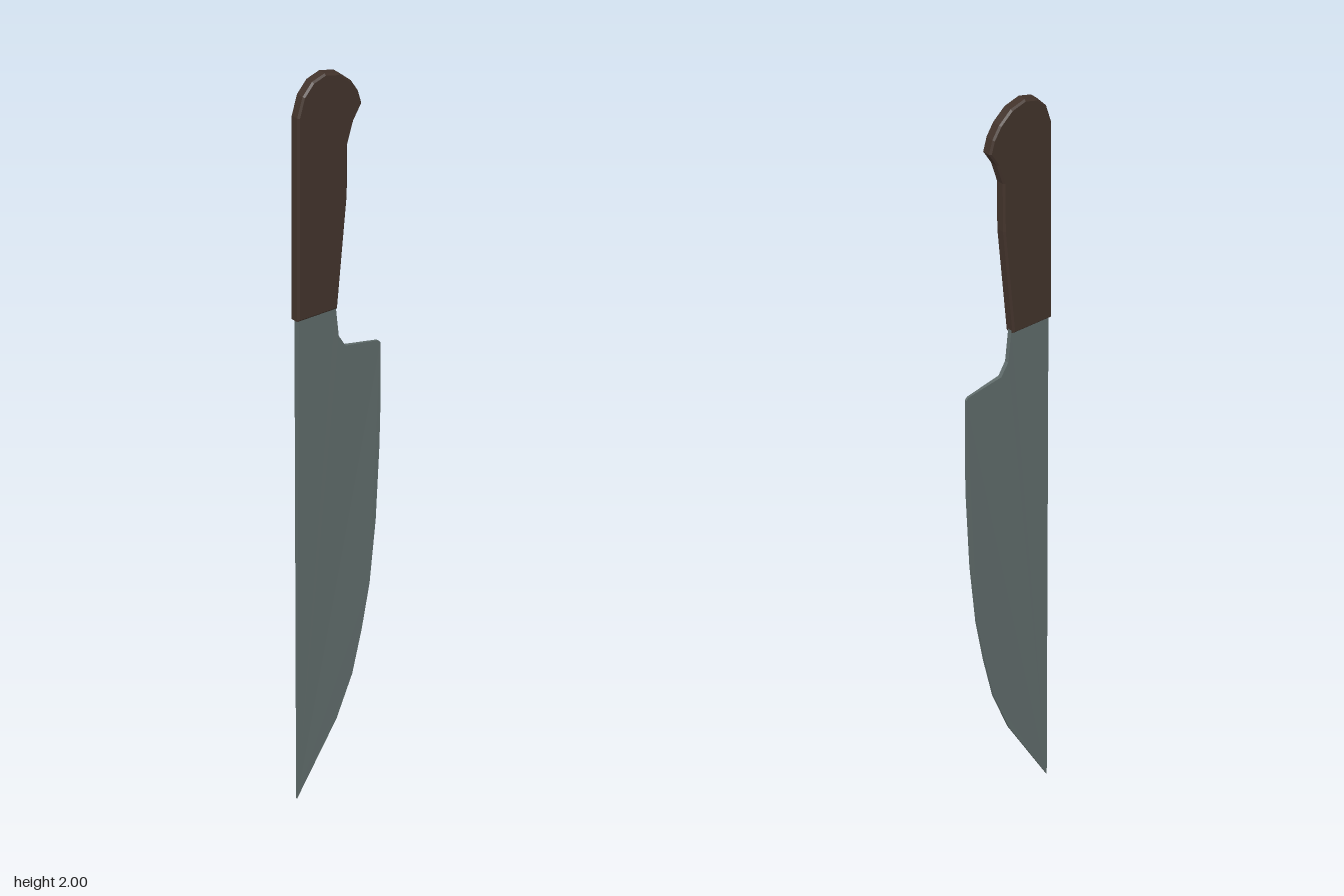
import * as THREE from 'three';

const steel = new THREE.MeshStandardMaterial({ color: 0x5f6b6a });
steel.name = 'steel';
const darkWood = new THREE.MeshStandardMaterial({ color: 0x42332b });
darkWood.name = 'darkWood';

const outline = (points) => new THREE.Shape(points.map(([x, y]) => new THREE.Vector2(x, y)));

// Blade: straight spine, curved cutting edge, heel notch and neck
function makeBlade() {
  const shape = outline([
    [-0.13, 0], [-0.005, 0.185], [0.045, 0.295], [0.075, 0.41], [0.1, 0.53],
    [0.12, 0.7], [0.132, 0.9], [0.135, 1.0], [0.135, 1.19], [0.128, 1.197],
    [0.022, 1.216], [0, 1.25], [-0.011, 1.345], [-0.13, 1.345],
  ]);
  const geo = new THREE.ExtrudeGeometry(shape, { depth: 1, bevelEnabled: false });
  const pos = geo.attributes.position;
  // Thin the slab from spine to edge, and towards the tip
  for (let i = 0; i < pos.count; i++) {
    const across = (pos.getX(i) + 0.13) / 0.265;
    const tip = THREE.MathUtils.lerp(0.25, 1, Math.min(pos.getY(i) / 0.5, 1));
    const half = THREE.MathUtils.lerp(0.009, 0.003, across) * tip;
    const side = pos.getZ(i) > 0.5 ? 1 : -1;
    pos.setZ(i, side * half - 0.003 * across);
  }
  geo.computeVertexNormals();
  const mesh = new THREE.Mesh(geo, steel);
  mesh.name = 'blade';
  return mesh;
}

// Handle: slim grip with a rounded, hooked butt and bevelled rims
function makeHandle() {
  const shape = outline([
    [-0.137, 1.333], [-0.011, 1.333], [0.02, 1.64], [0.021, 1.78], [0.04, 1.84],
    [0.066, 1.882], [0.055, 1.92], [0.033, 1.955], [-0.005, 1.988], [-0.05, 2.0],
    [-0.09, 1.988], [-0.12, 1.955], [-0.137, 1.9],
  ]);
  const bevel = 0.005;
  const geo = new THREE.ExtrudeGeometry(shape, {
    depth: 0.032 - 2 * bevel,
    bevelEnabled: true, bevelSegments: 1,
    bevelSize: bevel, bevelThickness: bevel, bevelOffset: -bevel,
  });
  geo.translate(0, 0, bevel - 0.016);
  const mesh = new THREE.Mesh(geo, darkWood);
  mesh.name = 'handle';
  return mesh;
}

export function createModel() {
  const knife = new THREE.Group();
  knife.name = 'kitchenKnife';
  knife.add(makeBlade(), makeHandle());
  return knife;
}
